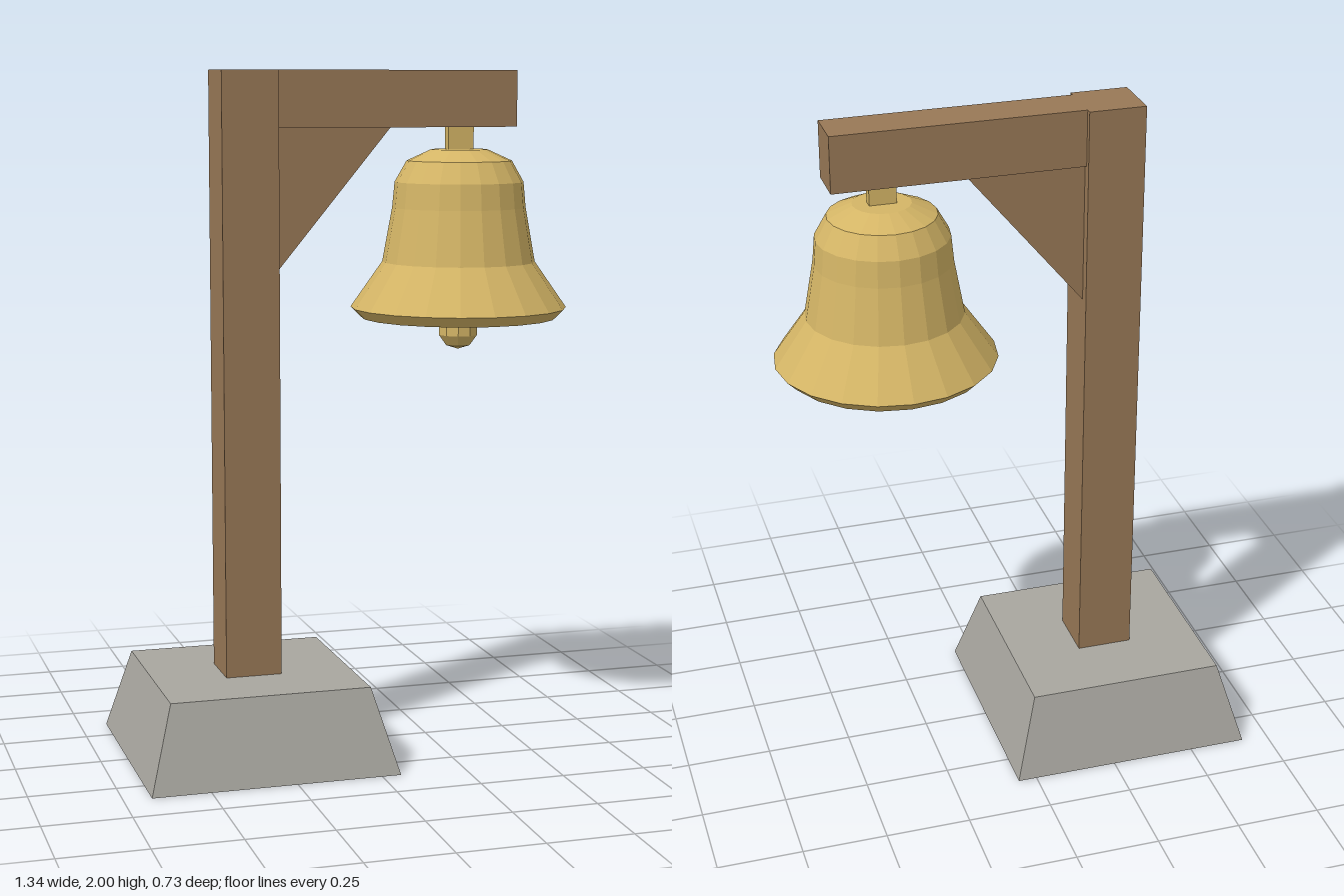
import * as THREE from 'three';

const wood = new THREE.MeshStandardMaterial({ color: 0x987856 });
wood.name = 'wood';
const stone = new THREE.MeshStandardMaterial({ color: 0xa8a69f });
stone.name = 'stone';
const brass = new THREE.MeshStandardMaterial({ color: 0xd4b566 });
brass.name = 'brass';

const POST_X = -0.307, POST_HALF = 0.083, BELL_X = 0.345;

// Give every face its own normals for the faceted look
function faceted(geometry) {
  const g = geometry.index ? geometry.toNonIndexed() : geometry;
  g.computeVertexNormals();
  return g;
}

function part(group, name, geometry, material, x, y, z = 0) {
  const mesh = new THREE.Mesh(faceted(geometry), material);
  mesh.name = name;
  mesh.position.set(x, y, z);
  group.add(mesh);
  return mesh;
}

// Box given by its x and y limits, centred on z
function block(group, name, material, x0, x1, y0, y1, depth) {
  return part(group, name, new THREE.BoxGeometry(x1 - x0, y1 - y0, depth), material,
    (x0 + x1) / 2, (y0 + y1) / 2);
}

export function createModel() {
  const model = new THREE.Group();
  model.name = 'bellPost';

  // Tapered stone foot
  const foot = new THREE.CylinderGeometry(0.293 * Math.SQRT2, 0.363 * Math.SQRT2, 0.246, 4);
  foot.rotateY(Math.PI / 4);
  part(model, 'stoneBase', foot, stone, POST_X, 0.123);

  // Timber frame
  const face = POST_X + POST_HALF;
  block(model, 'post', wood, POST_X - POST_HALF, face, 0.246, 2, POST_HALF * 2);
  block(model, 'beam', wood, face, 0.5, 1.836, 2, 0.132);

  // Triangular brace under the beam
  const triangle = new THREE.Shape([
    new THREE.Vector2(0, 0), new THREE.Vector2(0, -0.41), new THREE.Vector2(0.34, 0),
  ]);
  const brace = new THREE.ExtrudeGeometry(triangle, { depth: 0.106, bevelEnabled: false });
  part(model, 'brace', brace, wood, face, 1.836, -0.053);

  // Bell with its hanger and clapper
  const bell = new THREE.Group();
  bell.name = 'bell';
  bell.position.x = BELL_X;
  model.add(bell);

  block(bell, 'hanger', brass, -0.039, 0.039, 1.76, 1.836, 0.032);

  const profile = [
    [0, 1.72], [0.14, 1.69], [0.165, 1.6], [0.2, 1.44], [0.29, 1.275], // inside
    [0.32, 1.305], [0.226, 1.44], [0.197, 1.6], [0.19, 1.675],         // lip and outside
    [0.155, 1.737], [0.083, 1.77], [0, 1.77],                          // crown
  ].map(([r, y]) => new THREE.Vector2(r, y));
  part(bell, 'bellShell', new THREE.LatheGeometry(profile, 20), brass, 0, 0);

  part(bell, 'clapperRod', new THREE.CylinderGeometry(0.014, 0.014, 0.46, 8), brass, 0, 1.49);
  part(bell, 'clapperBall', new THREE.SphereGeometry(0.062, 10, 5), brass, 0, 1.241);

  return model;
}
